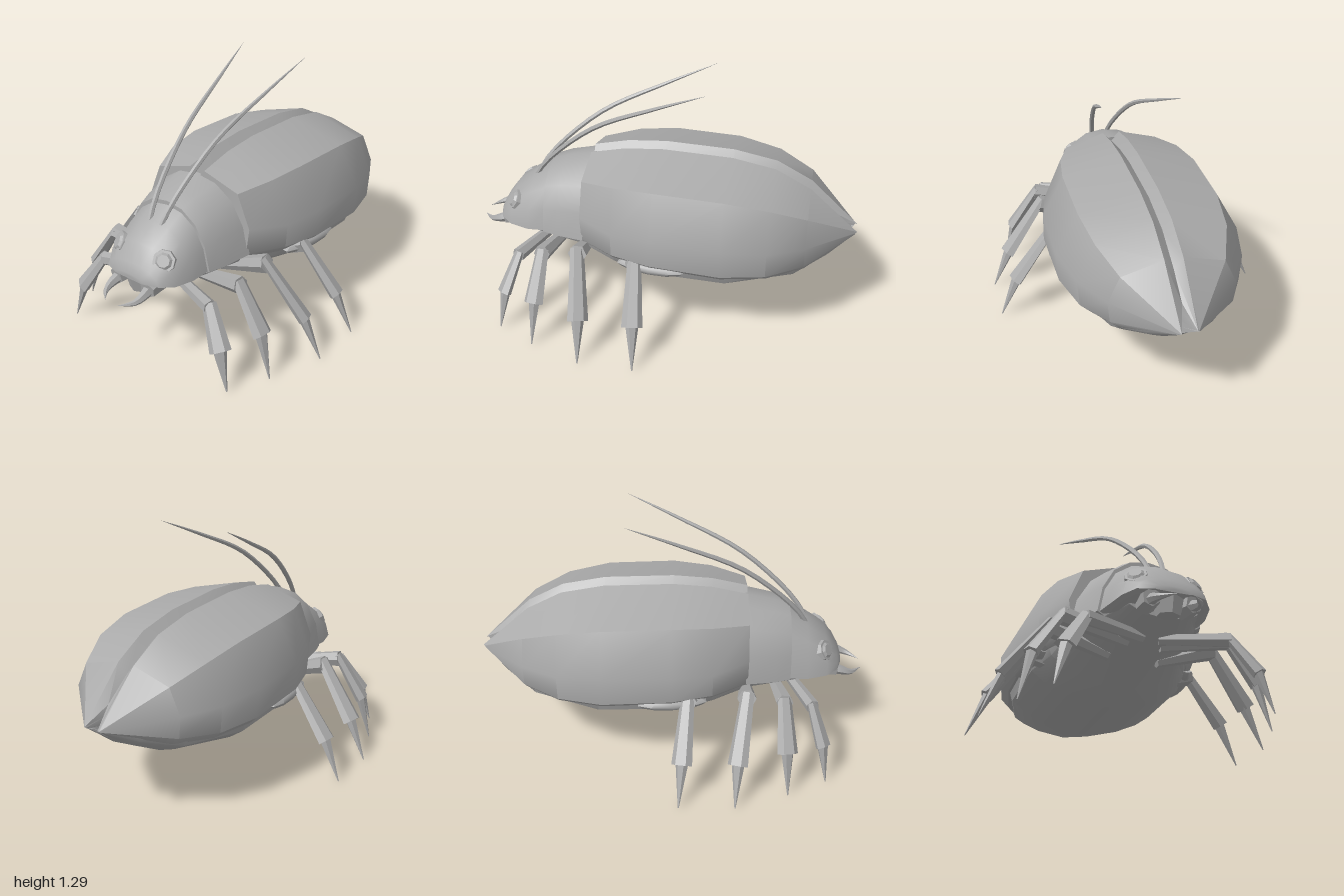
import * as THREE from 'three';
import { toCreasedNormals, mergeVertices } from 'three/addons/utils/BufferGeometryUtils.js';

const grey = new THREE.MeshStandardMaterial({ color: 0xaaaaaa });
grey.name = 'shell grey';
const V = (x, y, z) => new THREE.Vector3(x, y, z);

function part(geo, name, crease = 0.55) {
  const mesh = new THREE.Mesh(toCreasedNormals(geo, crease), grey);
  mesh.name = name;
  return mesh;
}

// Closed skin over half profiles (top centre, +x side, bottom centre), front to back
function loft(sections, name, crease) {
  const pos = [], idx = [];
  const rings = sections.map(half => {
    const mirror = half.slice(1, -1).reverse().map(([x, y, z]) => [-x, y, z]);
    return [...half, ...mirror];
  });
  const n = rings[0].length;
  rings.forEach(r => r.forEach(p => pos.push(...p)));
  for (let i = 0; i < rings.length - 1; i++) {
    for (let j = 0; j < n; j++) {
      const a = i * n + j, b = i * n + (j + 1) % n;
      idx.push(a, b, a + n, b, b + n, a + n);
    }
  }
  [0, rings.length - 1].forEach((i, back) => {
    const c = pos.length / 3, r = rings[i];
    for (let k = 0; k < 3; k++) pos.push((r[0][k] + r[n / 2][k]) / 2);
    for (let j = 0; j < n; j++) {
      const a = i * n + j, b = i * n + (j + 1) % n;
      if (back) idx.push(c, a, b); else idx.push(c, b, a);
    }
  });
  const geo = new THREE.BufferGeometry();
  geo.setAttribute('position', new THREE.Float32BufferAttribute(pos, 3));
  geo.setIndex(idx);
  return part(geo, name, crease);
}

// Domed plate section: z, half width w, top height t, rim height b
const domeShape = [[0, 1], [0.36, 0.95], [0.68, 0.76], [0.9, 0.42], [1, 0], [0.85, -0.08], [0, -0.1]];
const dome = ([z, w, t, b]) => domeShape.map(([x, y]) => [x * w, b + y * (t - b), z]);

// Straight tapered piece from a to b; flat thins it across the plane it bends in
function limb(a, b, ra, rb, name, sides = 6, flat = 1) {
  const dir = b.clone().sub(a);
  const geo = new THREE.CylinderGeometry(rb, ra, dir.length(), sides);
  geo.scale(flat, 1, 1);
  geo.applyQuaternion(new THREE.Quaternion().setFromUnitVectors(V(0, 1, 0), dir.normalize()));
  geo.translate((a.x + b.x) / 2, (a.y + b.y) / 2, (a.z + b.z) / 2);
  return part(geo, name, 0.4);
}

// Curved horn that narrows to a point
function horn(points, radius, power, steps, sides, name) {
  const curve = new THREE.CatmullRomCurve3(points);
  const geo = new THREE.TubeGeometry(curve, steps, radius, sides);
  const p = geo.attributes.position, v = V(0, 0, 0);
  for (let i = 0; i < p.count; i++) {
    const t = Math.floor(i / (sides + 1)) / steps;
    v.fromBufferAttribute(p, i).lerp(curve.getPointAt(t), Math.min(0.98, t ** power));
    p.setXYZ(i, v.x, v.y, v.z);
  }
  geo.deleteAttribute('uv');
  geo.deleteAttribute('normal');
  return part(mergeVertices(geo), name, 0.9);
}

export function createModel() {
  const model = new THREE.Group();
  model.name = 'beetle';

  // Wing cases: z, groove y, ridge y, shoulder x y, widest x y, rim x y
  const wing = [
    [0.38, 0.8, 0.85, 0.25, 0.79, 0.32, 0.62, 0.3, 0.48],
    [0.2, 0.84, 0.89, 0.32, 0.815, 0.415, 0.6, 0.405, 0.475],
    [0, 0.86, 0.905, 0.35, 0.825, 0.46, 0.61, 0.462, 0.475],
    [-0.35, 0.85, 0.892, 0.35, 0.81, 0.465, 0.6, 0.455, 0.45],
    [-0.57, 0.8, 0.85, 0.32, 0.77, 0.41, 0.58, 0.4, 0.445],
    [-0.75, 0.7, 0.755, 0.25, 0.7, 0.31, 0.57, 0.3, 0.46],
  ].map(([z, g, r, sx, sy, wx, wy, lx, ly]) => [[0, g, z], [0.045, r, z], [sx, sy, z],
    [wx, wy, z], [lx, ly, z], [lx - 0.04, ly - 0.038, z], [0, ly - 0.038, z]]);
  // Split tail: two tips with a notch between them
  wing.push([[0, 0.6, -0.88], [0.038, 0.525, -1], [0.044, 0.523, -0.995],
    [0.05, 0.52, -0.99], [0.05, 0.517, -0.99], [0.045, 0.512, -0.985], [0, 0.5, -0.88]]);
  model.add(loft(wing, 'wingCases', 0.68));

  // Belly: z, half width, rim y, lowest y
  const bellyShape = [[1, 0], [0.95, 0.3], [0.77, 0.56], [0.48, 0.82], [0, 1]];
  const belly = [
    [0.76, 0.17, 0.46, 0.4], [0.6, 0.235, 0.48, 0.36], [0.38, 0.29, 0.48, 0.34],
    [0.2, 0.365, 0.46, 0.27], [0.02, 0.415, 0.45, 0.235], [-0.37, 0.408, 0.43, 0.226],
    [-0.7, 0.3, 0.435, 0.313], [-0.86, 0.165, 0.47, 0.405],
  ].map(([z, w, y, b]) => [[0, y + 0.01, z],
    ...bellyShape.map(([fx, fy]) => [fx * w, y - fy * (y - b), z])]);
  belly.push([[0, 0.5, -0.88], [0.048, 0.515, -0.985], [0.046, 0.513, -0.985],
    [0.042, 0.512, -0.985], [0.036, 0.51, -0.98], [0, 0.44, -0.89]]);
  model.add(loft(belly, 'belly', 0.6));

  // Neck shield and head
  model.add(loft([[0.6, 0.255, 0.765, 0.47], [0.52, 0.28, 0.795, 0.47],
    [0.37, 0.315, 0.825, 0.48]].map(dome), 'neckShield'));
  model.add(loft([[0.875, 0.09, 0.5, 0.475], [0.85, 0.165, 0.545, 0.475], [0.79, 0.21, 0.625, 0.465],
    [0.69, 0.235, 0.695, 0.46], [0.59, 0.245, 0.75, 0.47]].map(dome), 'head', 0.7));

  // Upper lip
  const lip = new THREE.CylinderGeometry(0.08, 0.055, 0.08, 6);
  lip.scale(1, 1, 0.8).translate(0, 0.43, 0.805);
  model.add(part(lip, 'upperLip'));

  // Legs: hip, knee, ankle, tip, and thigh thickness
  const legs = [
    [[0.04, 0.372, 0.6], [0.35, 0.372, 0.71], [0.455, 0.2, 0.765], [0.505, 0.01, 0.785], 0.036],
    [[0.08, 0.375, 0.52], [0.41, 0.44, 0.56], [0.55, 0.23, 0.575], [0.603, 0.005, 0.585], 0.044],
    [[0.12, 0.36, 0.38], [0.42, 0.47, 0.37], [0.62, 0.21, 0.325], [0.707, 0.01, 0.315], 0.048],
    [[0.16, 0.34, 0.14], [0.43, 0.45, 0.075], [0.62, 0.21, 0.05], [0.707, 0.01, 0.035], 0.048],
  ];

  for (const s of [1, -1]) {
    const side = s > 0 ? 'left' : 'right';
    const at = ([x, y, z]) => V(s * x, y, z);

    legs.forEach(([h, k, a, t, thick], i) => {
      const [hip, knee, ankle, tip] = [h, k, a, t].map(at);
      const leg = new THREE.Group();
      leg.name = `${side}Leg${i + 1}`;
      leg.add(limb(hip, knee, 0.026, thick, 'thigh'));
      leg.add(limb(knee.clone().lerp(ankle, -0.1), ankle, 0.034, 0.053, 'shin', 6, 0.6));
      leg.add(limb(ankle.clone().lerp(knee, 0.08), tip, 0.035, 0.003, 'foot', 6, 0.75));
      model.add(leg);
    });

    // Hip lobe under the wing edge
    const lobe = new THREE.SphereGeometry(1, 10, 6);
    lobe.scale(0.05, 0.035, 0.18).rotateY(s * -0.12).translate(s * 0.4, 0.43, 0.0);
    model.add(part(lobe, `${side}HipLobe`, 0.9));

    // Eye: faceted rim with a raised lens
    const eye = new THREE.Group();
    eye.name = `${side}Eye`;
    const out = V(s * 0.45, 0.5, 0.72).normalize();
    const c = at([0.14, 0.574, 0.782]);
    const step = d => c.clone().addScaledVector(out, d);
    eye.add(limb(step(-0.03), step(0.01), 0.062, 0.054, 'eyeRim', 8));
    eye.add(limb(step(0.008), step(0.02), 0.044, 0.03, 'eyeLens', 8));
    model.add(eye);

    // Jaw and antenna
    model.add(limb(at([0.09, 0.455, 0.77]), at([0.1, 0.44, 0.86]), 0.055, 0.042, `${side}JawBase`));
    model.add(horn([[0.09, 0.44, 0.82], [0.1, 0.425, 0.88], [0.092, 0.408, 0.935], [0.04, 0.402, 0.995]].map(at),
      0.032, 1.2, 8, 6, `${side}Jaw`));
    model.add(horn([[0.035, 0.67, 0.69], [0.048, 0.75, 0.64], [0.068, 0.86, 0.54], [0.103, 1.03, 0.33],
      [0.153, 1.18, 0.02], [0.195, 1.29, -0.23]].map(at), 0.013, 4, 14, 6, `${side}Antenna`));
  }
  return model;
}
